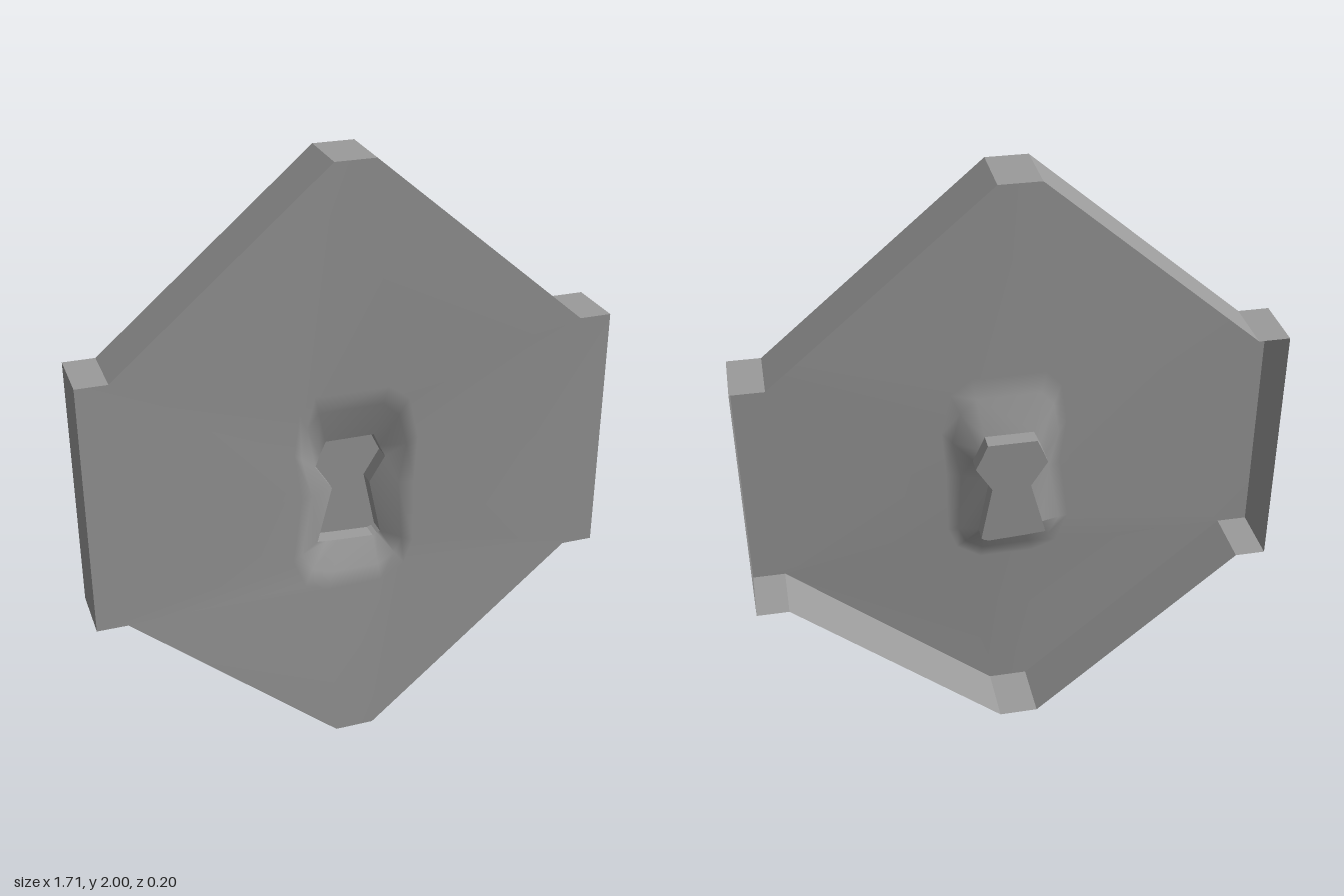
import * as THREE from 'three';

const material = new THREE.MeshStandardMaterial({ color: 0x9b9b9b, side: THREE.DoubleSide });

// Closed loops run clockwise seen from the front, with matching point counts.
const outline = [
  [-0.07, 2], [0.06, 2], [0.75, 1.415], [0.855, 1.415], [0.855, 1],
  [0.855, 0.585], [0.75, 0.585], [0.06, 0], [-0.07, 0], [-0.755, 0.585],
  [-0.855, 0.585], [-0.855, 1], [-0.855, 1.415], [-0.755, 1.415],
];
const dishEdge = [
  [-0.13, 1.27], [0.11, 1.27], [0.18, 1.22], [0.21, 1.08], [0.2, 0.92],
  [0.2, 0.7], [0.17, 0.62], [0.09, 0.57], [-0.09, 0.57], [-0.17, 0.6],
  [-0.21, 0.7], [-0.18, 0.92], [-0.2, 1.08], [-0.18, 1.22],
];
const keyhole = [
  [-0.08, 1.085], [0.08, 1.085], [0.1, 1.04], [0.12, 1.0], [0.067, 0.915],
  [0.105, 0.725], [0.095, 0.718], [0.08, 0.713], [-0.04, 0.719], [-0.08, 0.722],
  [-0.11, 0.724], [-0.06, 0.915], [-0.115, 1.0], [-0.1, 1.04],
];

const atDepth = (loop, z) => loop.map(([x, y]) => [x, y, z]);

// Loop part of the way from one loop to another
const between = (a, b, t) => a.map((p, i) => p.map((v, k) => v + (b[i][k] - v) * t));

// Skin a row of matching loops, either smooth or faceted
function loft(name, loops, smooth) {
  const n = loops[0].length;
  const index = [];
  for (let r = 0; r < loops.length - 1; r++) {
    for (let i = 0; i < n; i++) {
      const j = (i + 1) % n;
      const a0 = r * n + i, a1 = r * n + j, b0 = a0 + n, b1 = a1 + n;
      index.push(a1, a0, b0, a1, b0, b1);
    }
  }
  let geometry = new THREE.BufferGeometry();
  geometry.setAttribute('position', new THREE.Float32BufferAttribute(loops.flat(2), 3));
  geometry.setIndex(index);
  if (!smooth) geometry = geometry.toNonIndexed();
  geometry.computeVertexNormals();
  const mesh = new THREE.Mesh(geometry, material);
  mesh.name = name;
  return mesh;
}

export function createModel() {
  const group = new THREE.Group();
  group.name = 'keyholePlate';
  const front = 0.1, back = -0.1, rim = 0.035, floor = -0.02;

  // Dished front skin with a soft shoulder; the shell is open at the back
  group.add(loft('frontFace', [
    atDepth(outline, front),
    atDepth(dishEdge, 0.088),
    atDepth(between(dishEdge, keyhole, 0.35), 0.071),
    atDepth(keyhole, rim),
  ], true));

  // Border wall around the plate
  group.add(loft('borderWall', [atDepth(outline, back), atDepth(outline, front)], false));

  // Sunken keyhole: side walls and floor
  group.add(loft('keyholeWall', [atDepth(keyhole, rim), atDepth(keyhole, floor)], false));
  const shape = new THREE.Shape(keyhole.map(([x, y]) => new THREE.Vector2(x, y)));
  const keyholeFloor = new THREE.Mesh(new THREE.ShapeGeometry(shape), material);
  keyholeFloor.name = 'keyholeFloor';
  keyholeFloor.position.z = floor;
  group.add(keyholeFloor);

  return group;
}
